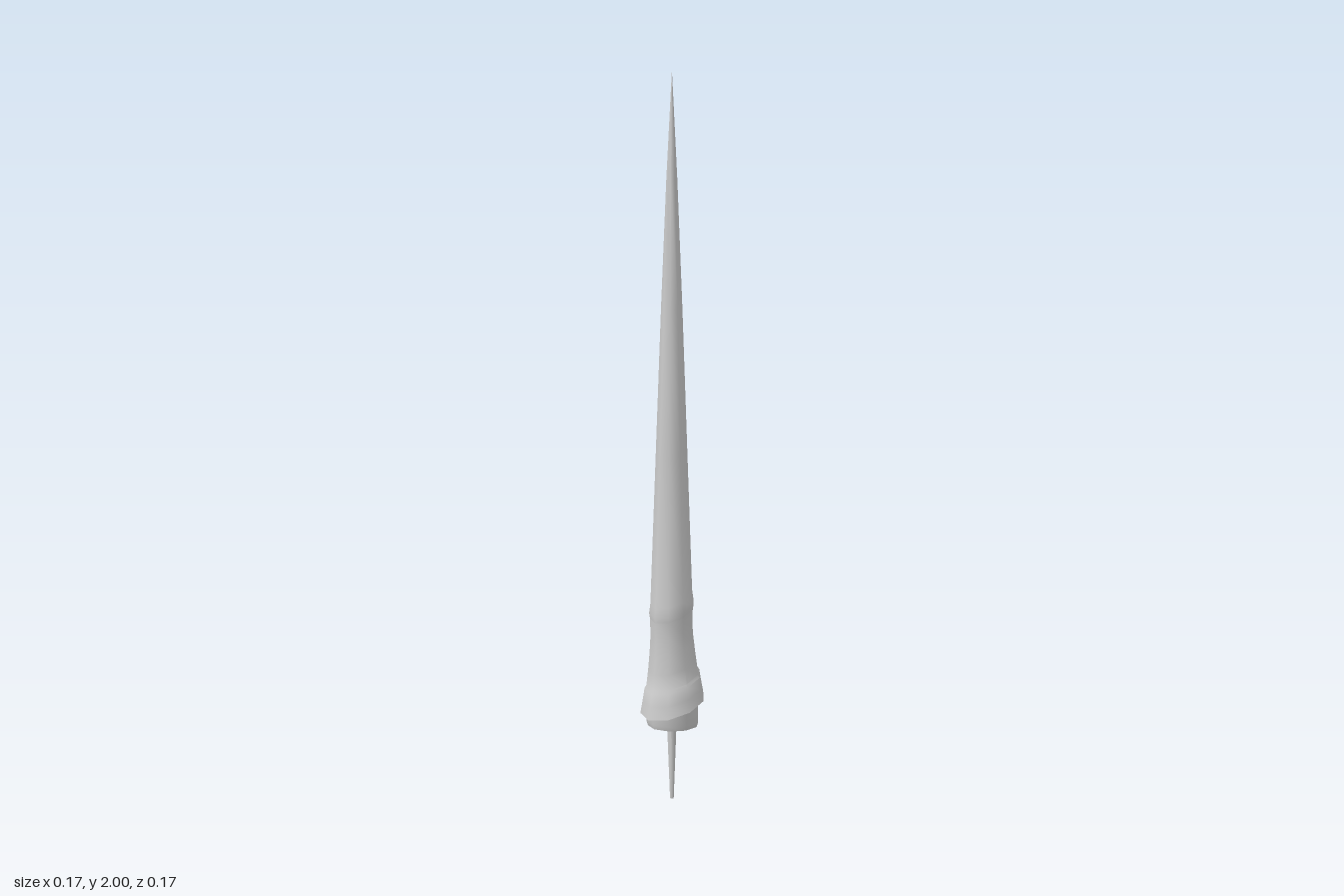
import * as THREE from 'three';
import { toCreasedNormals } from 'three/addons/utils/BufferGeometryUtils.js';

const SIDES = 9;
const OFFSET = -0.004; // the shaft and tang sit slightly off the collar's centre

// Nine-sided turned part; profile is [radius, height] from bottom to top
function turned(name, profile, deform) {
  const points = profile.map(([r, y]) => new THREE.Vector2(r, y));
  const geometry = new THREE.LatheGeometry(points, SIDES, Math.PI);
  const p = geometry.attributes.position;
  const v = new THREE.Vector3();
  for (let i = 0; i < p.count; i++) {
    deform(v.fromBufferAttribute(p, i));
    p.setXYZ(i, v.x, v.y, v.z);
  }
  const mesh = new THREE.Mesh(
    toCreasedNormals(geometry, 0.85),
    new THREE.MeshStandardMaterial({ color: 0xcccccc, side: THREE.DoubleSide })
  );
  mesh.name = name;
  return mesh;
}

// Slant every ring towards one side, as the collar wraps the horn diagonally
function slant(v) {
  v.y += 0.33 * v.x + 0.08 * v.z;
}

export function createModel() {
  const group = new THREE.Group();
  group.name = 'spike';

  // Long tapering horn with a small ridge at its foot
  group.add(turned('hornShaft', [
    [0.055, 0.46], [0.058, 0.51], [0.0605, 0.525], [0.057, 0.55],
    [0.043, 0.95], [0.029, 1.35], [0.015, 1.7], [0, 2],
  ], (v) => {
    slant(v);
    v.x += OFFSET;
  }));

  // Flared collar with a step and an overhanging lip
  group.add(turned('flaredCollar', [
    [0.066, 0.272], [0.086, 0.257], [0.08, 0.29], [0.075, 0.322],
    [0.07, 0.33], [0.065, 0.37], [0.06, 0.42], [0.057, 0.465], [0.058, 0.51],
  ], (v) => {
    slant(v);
    v.x += OFFSET * THREE.MathUtils.smoothstep(v.y, 0.3, 0.5);
  }));

  // Root stub under the collar, flat below and slanted above
  group.add(turned('rootStub', [
    [0, 0.2], [0.066, 0.2], [0.07, 0.212], [0.07, 0.275],
  ], (v) => {
    if (v.y > 0.25) slant(v);
  }));

  // Thin tang
  group.add(turned('tang', [
    [0, 0], [0.005, 0], [0.013, 0.205],
  ], (v) => {
    v.x += OFFSET;
  }));

  return group;
}
